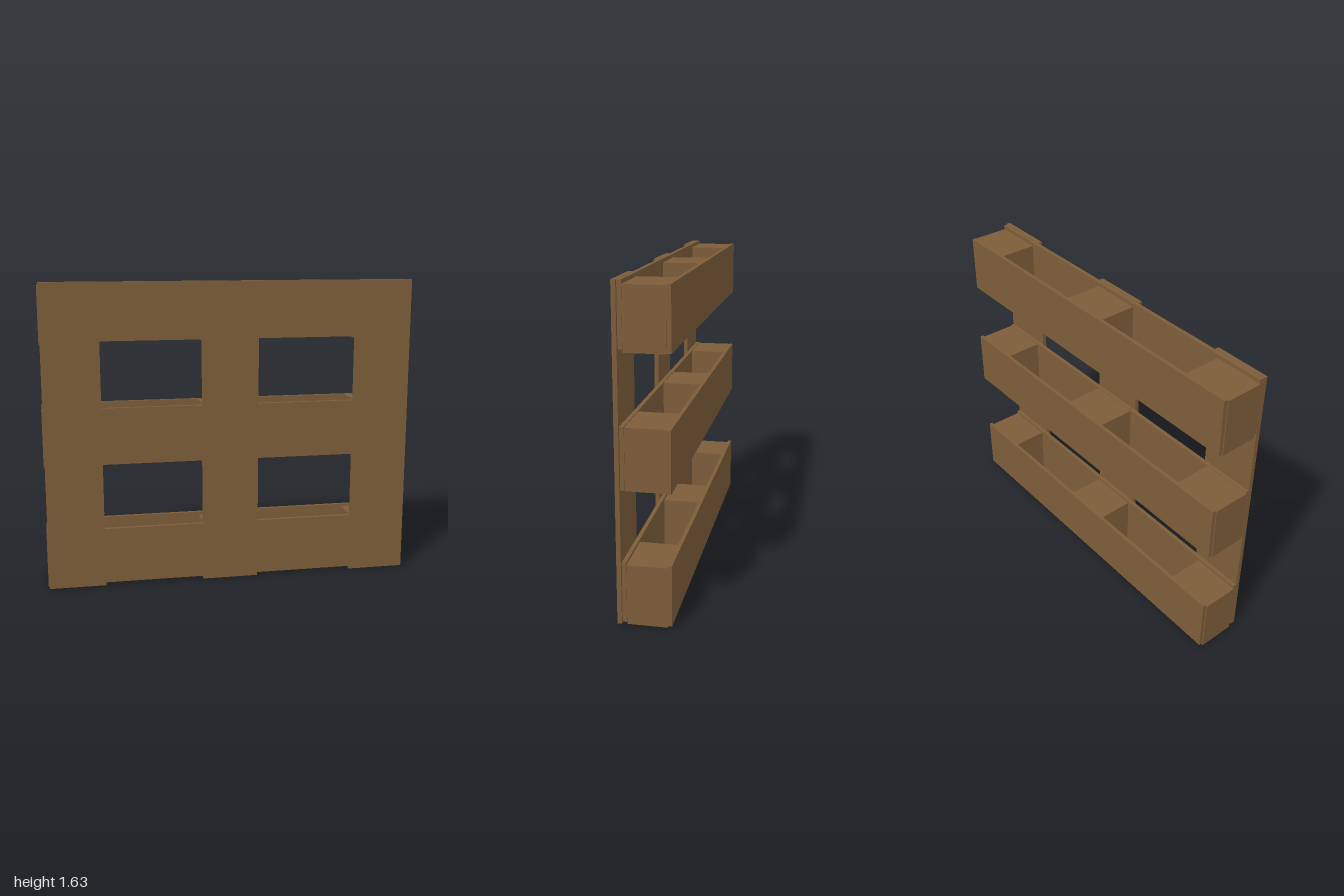
import * as THREE from 'three';

const wood = new THREE.MeshStandardMaterial({ color: 0x7d5d3a });
wood.name = 'wood';

// Box given by its extents along each axis
function plank(name, [x0, x1], [y0, y1], [z0, z1]) {
  const mesh = new THREE.Mesh(new THREE.BoxGeometry(x1 - x0, y1 - y0, z1 - z0), wood);
  mesh.position.set((x0 + x1) / 2, (y0 + y1) / 2, (z0 + z1) / 2);
  mesh.name = name;
  return mesh;
}

export function createModel() {
  const pallet = new THREE.Group();
  pallet.name = 'pallet';

  // Upright deck boards across the front
  for (const x of [[-0.992, -0.69], [-0.155, 0.15], [0.685, 0.996]])
    pallet.add(plank('deckBoard', x, [0.005, 1.635], [0.109, 0.131]));

  // Each runner: a front stringer, three spacer blocks and a back board
  const runners = [
    { front: [0.012, 0.317], block: [0, 0.303], back: [0.01, 0.317], end: 0.985 },
    { front: [0.673, 0.977], block: [0.67, 0.973], back: [0.672, 0.975], end: 0.996 },
    { front: [1.33, 1.635], block: [1.314, 1.615], back: [1.316, 1.62], end: 0.98 },
  ];
  for (const { front, block, back, end } of runners) {
    const runner = new THREE.Group();
    runner.name = 'runner';
    runner.add(plank('stringer', [-0.992, 0.987], front, [0.086, 0.107]));
    for (const x of [[-0.998, -0.73], [-0.142, 0.13], [0.71, 0.983]])
      runner.add(plank('spacerBlock', x, block, [-0.112, 0.086]));
    runner.add(plank('backBoard', [-0.992, end], back, [-0.132, -0.112]));
    pallet.add(runner);
  }
  return pallet;
}
